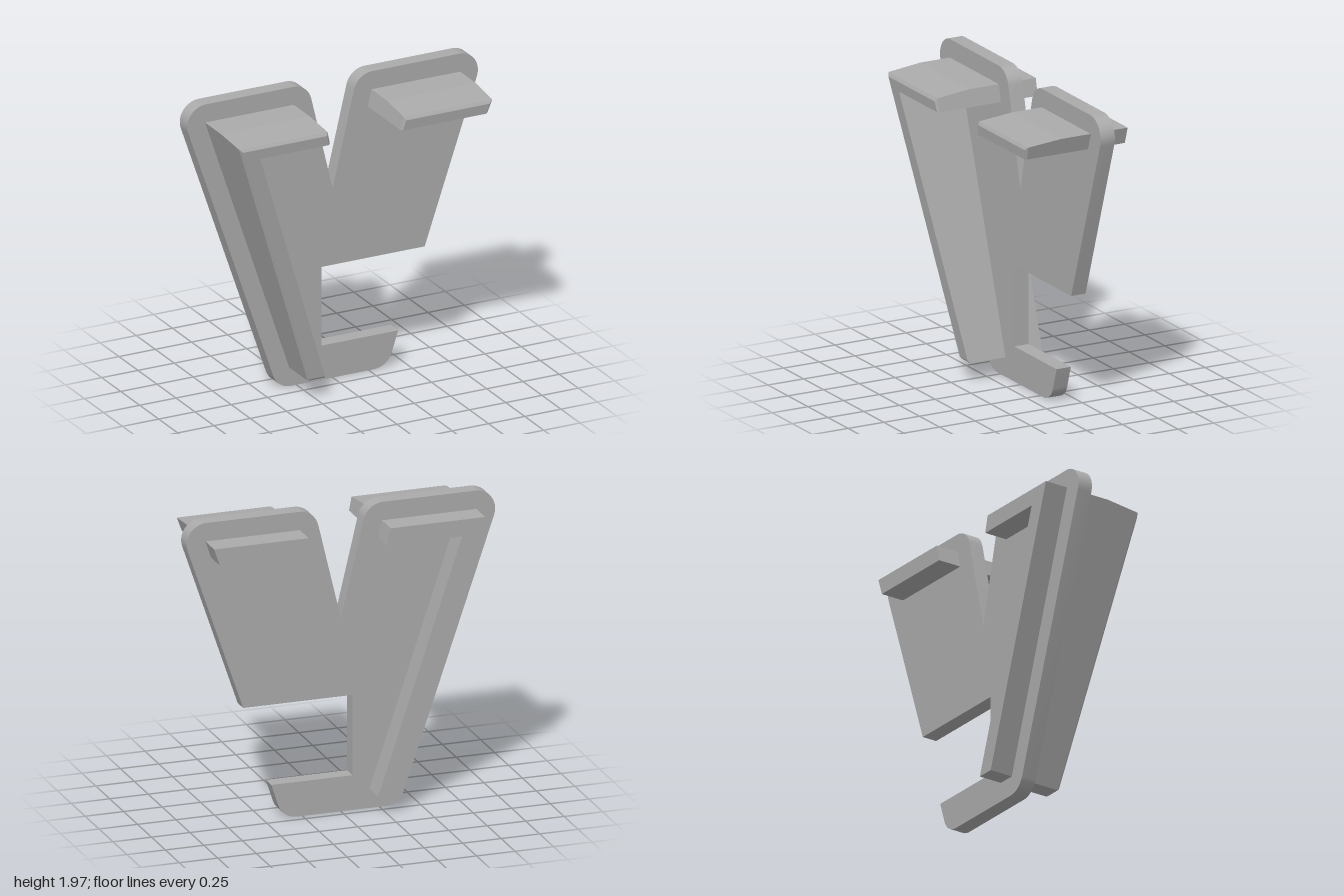
import * as THREE from 'three';
import { toCreasedNormals } from 'three/addons/utils/BufferGeometryUtils.js';

// Closed outline from [x, y, radius] corners; a radius rounds the corner
function roundedOutline(corners, steps = 10) {
  const points = [];
  corners.forEach(([x, y, r], i) => {
    const p = new THREE.Vector2(x, y);
    if (!r) return points.push(p);
    const n = corners.length;
    const toward = ([cx, cy]) => new THREE.Vector2(cx, cy).sub(p).normalize();
    const u = toward(corners[(i + n - 1) % n]);
    const v = toward(corners[(i + 1) % n]);
    const half = Math.acos(u.dot(v)) / 2;
    const centre = u.clone().add(v).normalize().multiplyScalar(r / Math.sin(half)).add(p);
    const start = p.clone().addScaledVector(u, r / Math.tan(half)).sub(centre);
    const sweep = Math.sign(-u.cross(v)) * (Math.PI - 2 * half);
    for (let k = 0; k <= steps; k++) {
      points.push(start.clone().rotateAround(new THREE.Vector2(), (sweep * k) / steps).add(centre));
    }
  });
  return points;
}

// Slanted front of the ribs: deeper toward the top
const frontZ = (y) => 0.165 + (y - 0.14) * 0.111;

// Rib lofted from counter-clockwise sections: back, mid, rim and chamfered face
function ribGeometry(outer, rim, face) {
  const sections = [
    outer.map(([x, y]) => [x, y, -0.355]),
    outer.map(([x, y]) => [x, y, 0.11]),
    rim.map(([x, y]) => [x, y, frontZ(y) - 0.015]),
    face.map(([x, y]) => [x, y, frontZ(y)]),
  ];
  const n = outer.length;
  const index = [];
  for (let s = 0; s < 3; s++) {
    for (let i = 0; i < n; i++) {
      const j = (i + 1) % n;
      const a = s * n + i, b = s * n + j, c = a + n, d = b + n;
      index.push(a, b, d, a, d, c);
    }
  }
  const cap = (pts) => THREE.ShapeUtils.triangulateShape(pts.map(([x, y]) => new THREE.Vector2(x, y)), []);
  cap(outer).forEach(([a, b, c]) => index.push(a, c, b));
  cap(face).forEach(([a, b, c]) => index.push(a + 3 * n, b + 3 * n, c + 3 * n));
  const geometry = new THREE.BufferGeometry();
  geometry.setAttribute('position', new THREE.Float32BufferAttribute(sections.flat(2), 3));
  geometry.setIndex(index);
  const flat = geometry.toNonIndexed();
  flat.computeVertexNormals();
  return flat;
}

export function createModel() {
  const group = new THREE.Group();
  const grey = new THREE.MeshStandardMaterial({ color: 0xaaaaaa });
  grey.name = 'plain grey';

  const add = (name, geometry) => {
    const mesh = new THREE.Mesh(geometry, grey);
    mesh.name = name;
    group.add(mesh);
  };

  // Flat plate with a V notch above and a square cut-out above the foot
  const r = 0.128;
  const outline = roundedOutline([
    [-0.379, 0, r], [0.379, 0, r], [0.452, 0.225], [-0.075, 0.225],
    [-0.075, 0.745], [0.635, 0.745], [1.053, 1.972, r], [0.171, 1.972, r],
    [0, 1.25], [-0.171, 1.972, r], [-1.053, 1.972, r],
  ]);
  const plate = new THREE.ExtrudeGeometry(new THREE.Shape(outline), { depth: 0.1, bevelEnabled: false });
  plate.translate(0, 0, -0.197);
  add('plate', toCreasedNormals(plate, 0.4));

  // Long rib: top bar joined to a slanted leg, passing through the plate
  add('longRib', ribGeometry(
    [[-0.88, 1.853], [-0.3, 0.125], [-0.185, 0.125], [-0.73, 1.745], [-0.242, 1.745], [-0.267, 1.853]],
    [[-0.873, 1.83], [-0.3, 0.125], [-0.185, 0.125], [-0.73, 1.745], [-0.242, 1.745], [-0.262, 1.83]],
    [[-0.85, 1.81], [-0.288, 0.14], [-0.19, 0.14], [-0.73, 1.745], [-0.256, 1.745], [-0.272, 1.81]],
  ));

  // Short rib: top bar on the other arm
  add('shortRib', ribGeometry(
    [[0.267, 1.853], [0.242, 1.745], [0.844, 1.745], [0.88, 1.853]],
    [[0.262, 1.83], [0.242, 1.745], [0.844, 1.745], [0.873, 1.83]],
    [[0.272, 1.81], [0.256, 1.745], [0.83, 1.745], [0.85, 1.81]],
  ));

  return group;
}
